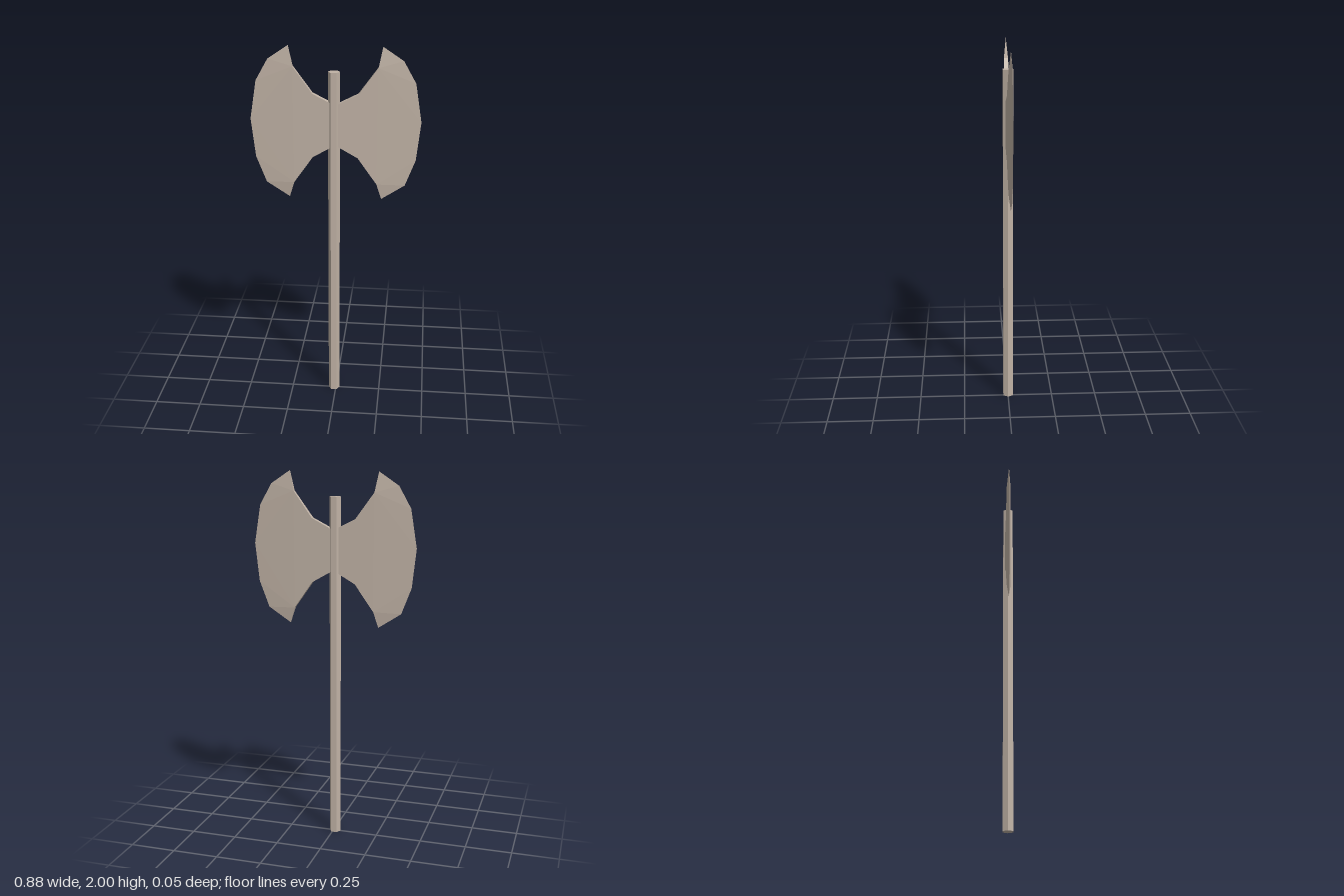
import * as THREE from 'three';

// Blade outline, clockwise from the upper root: [x, y, half thickness].
// The cutting rim (points 3 to 9) tapers to a sharp edge.
const OUTLINE = [
  [0, 1.697, 0.016], [0.117, 1.757, 0.0135], [0.217, 1.895, 0.011],
  [0.238, 2.0, 0], [0.343, 1.93, 0], [0.407, 1.817, 0], [0.44, 1.615, 0],
  [0.418, 1.41, 0], [0.365, 1.27, 0], [0.243, 1.19, 0],
  [0.217, 1.275, 0.011], [0.117, 1.418, 0.0135], [0, 1.486, 0.016],
];

// Triangles of the front face
const FACE = [
  [0, 12, 11], [0, 11, 1], [1, 11, 10], [1, 10, 2],
  [2, 4, 3], [2, 5, 4], [2, 6, 5], [2, 10, 6],
  [10, 7, 6], [10, 8, 7], [10, 9, 8],
];

function bladeGeometry() {
  const n = OUTLINE.length;
  const positions = [];
  for (const side of [1, -1]) {
    for (const [x, y, t] of OUTLINE) positions.push(x, y, side * t);
  }
  const index = [];
  for (const [a, b, c] of FACE) index.push(a, b, c, a + n, c + n, b + n);
  // Thick walls along the upper and lower curves
  for (const i of [0, 1, 2, 9, 10, 11]) {
    const j = i + 1;
    index.push(i, j, j + n, i, j + n, i + n);
  }
  const geometry = new THREE.BufferGeometry();
  geometry.setAttribute('position', new THREE.Float32BufferAttribute(positions, 3));
  geometry.setIndex(index);
  const flat = geometry.toNonIndexed();
  flat.computeVertexNormals();
  return flat;
}

export function createModel() {
  const group = new THREE.Group();
  group.name = 'doubleAxe';

  const stone = new THREE.MeshStandardMaterial({ color: 0xc0b2a5, flatShading: true });
  stone.name = 'warm grey';

  // Six-sided handle, corners pointing left and right
  const height = 1.87;
  const handle = new THREE.Mesh(
    new THREE.CylinderGeometry(0.031, 0.031, height, 6, 1, false, Math.PI / 6), stone);
  handle.name = 'handle';
  handle.position.set(-0.01, height / 2, 0);
  group.add(handle);

  // Two matching blades, set very slightly askew
  const geometry = bladeGeometry();
  for (const [name, turn] of [['leftBlade', 0], ['rightBlade', Math.PI]]) {
    const blade = new THREE.Mesh(geometry, stone);
    blade.name = name;
    blade.position.set(-0.003, 0, -0.001);
    blade.rotation.y = turn + 0.01;
    group.add(blade);
  }
  return group;
}
